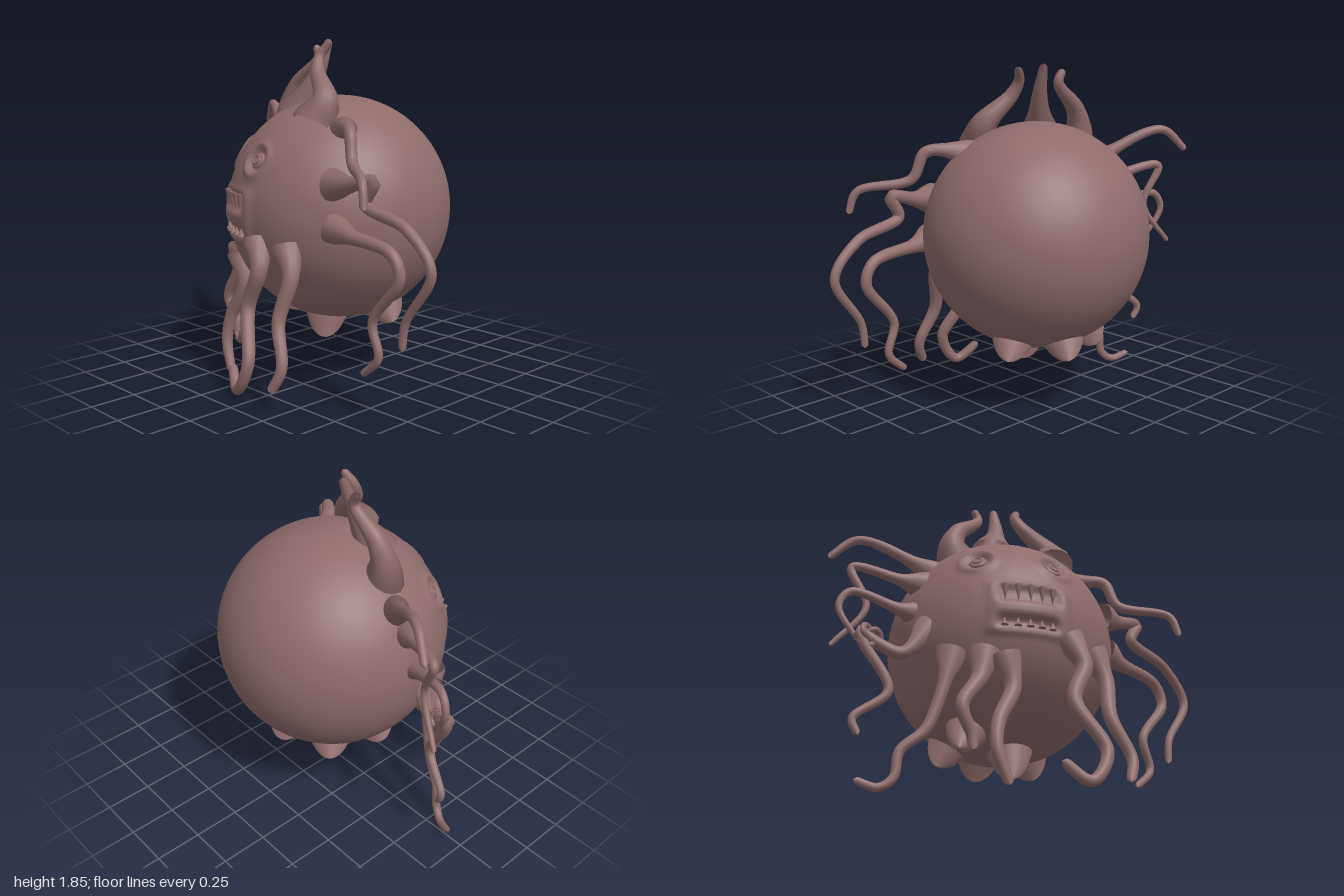
import * as THREE from 'three';

const C = new THREE.Vector3(-0.045, 0.95, -0.065);
const R = 0.61;
const skin = new THREE.MeshStandardMaterial({ color: 0x8e6c6c, side: THREE.DoubleSide });
const smooth = (a, b, x) => THREE.MathUtils.smoothstep(x, a, b);

// point on the front half of the body at a given x, y
function onBody(x, y) {
  const dx = x - C.x, dy = y - C.y;
  return new THREE.Vector3(dx, dy, Math.sqrt(R * R - dx * dx - dy * dy)).add(C);
}

// tapered tube through points, with a flared root and a rounded tip
function limb(name, pts, { root = 0.085, mid = 0.036, tip = 0.019, flare = 0.09, seg = 80, sides = 14 } = {}) {
  const curve = new THREE.CatmullRomCurve3(pts, false, 'centripetal');
  const len = curve.getLength();
  const geo = new THREE.TubeGeometry(curve, seg, 1, sides);
  const pos = geo.attributes.position, v = new THREE.Vector3();
  for (let i = 0; i <= seg; i++) {
    const t = i / seg, s = t * len;
    let r = mid + (tip - mid) * t + (root - mid) * Math.exp(-((s / flare) ** 2));
    const end = (len - s) / (tip * 1.2);
    if (end < 1) r *= Math.sqrt(Math.max(0, 1 - (1 - end) ** 2));
    const p = curve.getPointAt(t);
    for (let j = 0; j <= sides; j++) {
      const k = i * (sides + 1) + j;
      v.fromBufferAttribute(pos, k).sub(p).multiplyScalar(r).add(p);
      pos.setXYZ(k, v.x, v.y, v.z);
    }
  }
  const mesh = new THREE.Mesh(geo, skin);
  mesh.name = name;
  return mesh;
}

// limb drawn as x, y pairs on a slanted plane: z changes by kx per x and by ky per drop in y
function strand(name, xy, z0, kx, ky, options) {
  const pts = [];
  for (let i = 0; i < xy.length; i += 2)
    pts.push(new THREE.Vector3(xy[i], xy[i + 1], z0 + kx * (xy[i] - xy[0]) + ky * (xy[1] - xy[i + 1])));
  return limb(name, pts, options);
}

const eyes = [onBody(-0.46, 1.245), onBody(-0.11, 1.24)];

// sphere with sunken eye sockets and a mouth patch
function body() {
  const geo = new THREE.SphereGeometry(R, 200, 140);
  const pos = geo.attributes.position, v = new THREE.Vector3();
  const box = (w, t) => 1 - smooth(w - 0.025, w + 0.025, Math.abs(t));
  for (let i = 0; i < pos.count; i++) {
    v.fromBufferAttribute(pos, i).add(C);
    let h = 0;
    for (const e of eyes) {
      const d = v.distanceTo(e);
      h += 0.014 * Math.exp(-(((d - 0.085) / 0.022) ** 2)) - 0.022 * Math.exp(-(((d - 0.05) / 0.02) ** 2));
    }
    if (v.z > 0) {
      h += 0.014 * box(0.19, v.x + 0.27) * box(0.14, v.y - 0.94);
      h -= 0.03 * box(0.14, v.x + 0.285) * (box(0.045, v.y - 1.015) + box(0.028, v.y - 0.86));
    }
    v.sub(C).setLength(R + h);
    pos.setXYZ(i, v.x, v.y, v.z);
  }
  geo.computeVertexNormals();
  const mesh = new THREE.Mesh(geo, skin);
  mesh.name = 'body';
  mesh.position.copy(C);
  return mesh;
}

function addTentacles(model) {
  const thick = { mid: 0.047, tip: 0.025 }, thin = { mid: 0.031, tip: 0.013 };
  const side = (...a) => model.add(strand('sideTentacle', ...a));
  const lower = (...a) => model.add(strand('lowerTentacle', ...a));
  // model's right side
  side([-0.5, 1.29, -0.6, 1.37, -0.85, 1.48, -0.98, 1.36], -0.07, 0.6, 0);
  side([-0.56, 1.19, -0.68, 1.22, -0.91, 1.26, -0.83, 1.04, -0.98, 0.8], -0.05, 0.48, 0, thin);
  side([-0.58, 1, -0.7, 1.03, -0.93, 1.09, -0.98, 1, -0.88, 0.82], -0.03, 0.4, 0, thin);
  side([-0.58, 0.9, -0.71, 0.75, -0.81, 0.78, -0.91, 0.84, -0.88, 0.77, -0.76, 0.54, -0.91, 0.38, -0.88, 0.3], 0.05, 0.42, 0);
  // below the face
  lower([-0.53, 0.74, -0.59, 0.46, -0.64, 0.32, -0.74, 0.21, -0.76, 0.08, -0.82, 0.03, -0.92, 0.06], 0.18, 0.5, 0);
  lower([-0.43, 0.72, -0.46, 0.58, -0.56, 0.41, -0.5, 0.28, -0.49, 0.21], 0.31, 0, 0, thick);
  lower([-0.36, 0.7, -0.32, 0.54, -0.42, 0.34, -0.44, 0.2, -0.38, 0.03], 0.37, 0, 0.11, thick);
  lower([-0.06, 0.83, 0, 0.69, -0.08, 0.48, 0.03, 0.22, -0.07, 0.06, -0.19, 0.15], 0.5, 0.4, 0.2, thick);
  lower([0.13, 0.82, 0.19, 0.68, 0.16, 0.45, 0.24, 0.24, 0.19, 0.11], 0.47, 0, 0.25, thick);
  // model's left side
  side([0.34, 0.93, 0.46, 0.9, 0.73, 0.85, 0.78, 0.74, 0.61, 0.5, 0.65, 0.33, 0.54, 0.22], 0.355, 0, 0);
  side([0.33, 1.14, 0.44, 1.15, 0.61, 1.18, 0.56, 1.07, 0.82, 0.98, 0.97, 0.8, 0.82, 0.54, 0.8, 0.4], 0.355, 0, 0);
  side([0.22, 1.38, 0.31, 1.41, 0.41, 1.4, 0.47, 1.26, 0.7, 1.2, 0.74, 1.08], 0.17, 0.74, 0);
}

function addHorns(model) {
  const shape = { root: 0.12, mid: 0.075, tip: 0.02, flare: 0.12, seg: 50 };
  const horn = (xy, z0, ky) => model.add(strand('horn', xy, z0, 0, ky, shape));
  horn([-0.37, 1.38, -0.4, 1.5, -0.36, 1.61, -0.21, 1.76, -0.24, 1.83], -0.03, 0.1);
  horn([-0.22, 1.45, -0.14, 1.67, -0.11, 1.86], 0.08, 0.33);
  horn([0.08, 1.42, 0.1, 1.54, -0.03, 1.69, -0.05, 1.77, -0.01, 1.84], 0.24, 0.48);
}

// stubby feet: four in an arc under the body and one low at the front
function addFeet(model) {
  const tips = [new THREE.Vector3(-0.05, 0.22, 0.05)];
  for (let i = 0; i < 4; i++) {
    const a = THREE.MathUtils.degToRad(-18 - 59 * i);
    tips.push(new THREE.Vector3(C.x + 0.33 * Math.cos(a), 0.325, C.z + 0.33 * Math.sin(a)));
  }
  for (const tip of tips) {
    const start = C.clone().lerp(tip, 0.74);
    model.add(limb('foot', [start, tip], { root: 0.13, mid: 0.08, tip: 0.066, flare: 0.12, seg: 36, sides: 20 }));
  }
}

function addFace(model) {
  for (const e of eyes) {
    const eye = new THREE.Group();
    eye.name = 'eye';
    const ring = new THREE.Mesh(new THREE.TorusGeometry(0.022, 0.006, 10, 28), skin);
    const ball = new THREE.Mesh(new THREE.SphereGeometry(0.045, 24, 16), skin);
    ring.name = 'pupil';
    ball.name = 'eyeball';
    ball.scale.z = 0.3;
    ball.position.z = -0.012;
    eye.add(ring, ball);
    eye.position.copy(e);
    eye.lookAt(e.clone().multiplyScalar(2).sub(C));
    model.add(eye);
  }
  // long upper teeth, short lower teeth
  for (let i = 0; i < 5; i++) {
    const x = -0.4 + i * 0.056;
    for (const [name, y, h, flip] of [['upperTooth', 1.015, 0.09, Math.PI], ['lowerTooth', 0.86, 0.045, 0]]) {
      const tooth = new THREE.Mesh(new THREE.ConeGeometry(0.019, h, 10), skin);
      tooth.name = name;
      tooth.position.copy(onBody(x, y));
      tooth.rotation.z = flip;
      model.add(tooth);
    }
  }
}

export function createModel() {
  const model = new THREE.Group();
  model.name = 'tentacledCreature';
  model.add(body());
  addTentacles(model);
  addHorns(model);
  addFeet(model);
  addFace(model);

  // tangle in the side tentacles
  const knot = new THREE.Mesh(new THREE.TorusKnotGeometry(0.04, 0.016, 80, 10), skin);
  knot.name = 'tentacleKnot';
  knot.position.set(-0.86, 0.82, -0.07);
  model.add(knot);
  return model;
}
